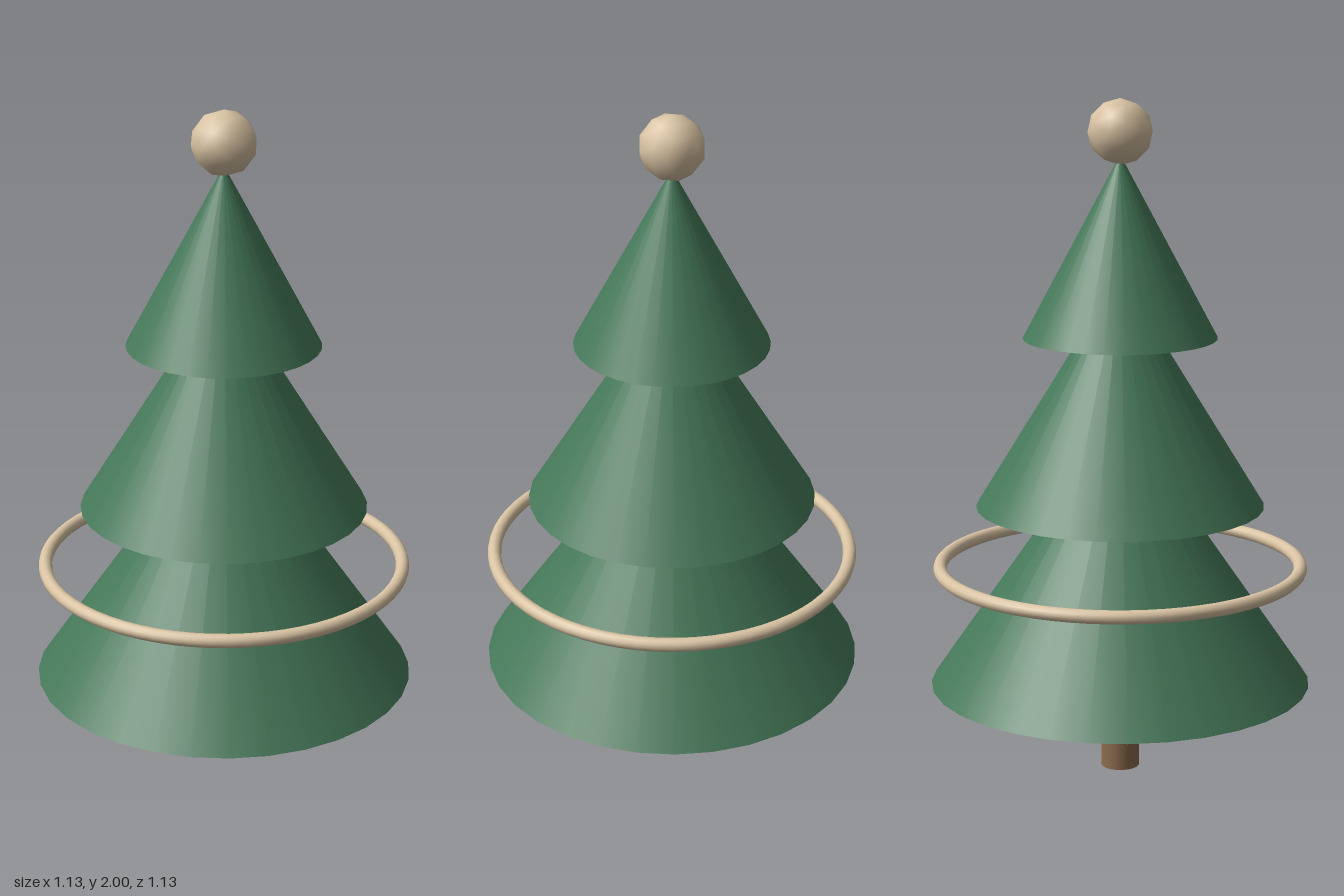
import * as THREE from 'three';

export function createModel() {
  const tree = new THREE.Group();
  tree.name = 'tree';

  const material = (name, color) => {
    const m = new THREE.MeshStandardMaterial({ color });
    m.name = name;
    return m;
  };
  const green = material('needle green', 0x457859);
  const brown = material('bark brown', 0x8b6b4e);
  const tan = material('ornament tan', 0xd9c3a3);

  const add = (name, geometry, mat, y) => {
    const mesh = new THREE.Mesh(geometry, mat);
    mesh.name = name;
    mesh.position.y = y;
    tree.add(mesh);
    return mesh;
  };

  // Trunk, ending inside the lowest tier
  add('trunk', new THREE.CylinderGeometry(0.057, 0.057, 0.36, 24), brown, 0.18);

  // Three stacked tiers: name, base height, radius, cone height
  const tiers = [
    ['lowerTier', 0.27, 0.565, 0.82],
    ['middleTier', 0.81, 0.425, 0.69],
    ['upperTier', 1.31, 0.284, 0.53],
  ];
  for (const [name, base, radius, height] of tiers) {
    add(name, new THREE.ConeGeometry(radius, height, 32), green, base + height / 2);
  }

  // Floating garland ring around the lowest tier
  const ring = new THREE.TorusGeometry(0.534, 0.02, 12, 64);
  ring.rotateX(Math.PI / 2);
  add('garlandRing', ring, tan, 0.626);

  // Faceted ball on the tip
  add('topBall', new THREE.IcosahedronGeometry(0.095, 1), tan, 1.905);

  return tree;
}
